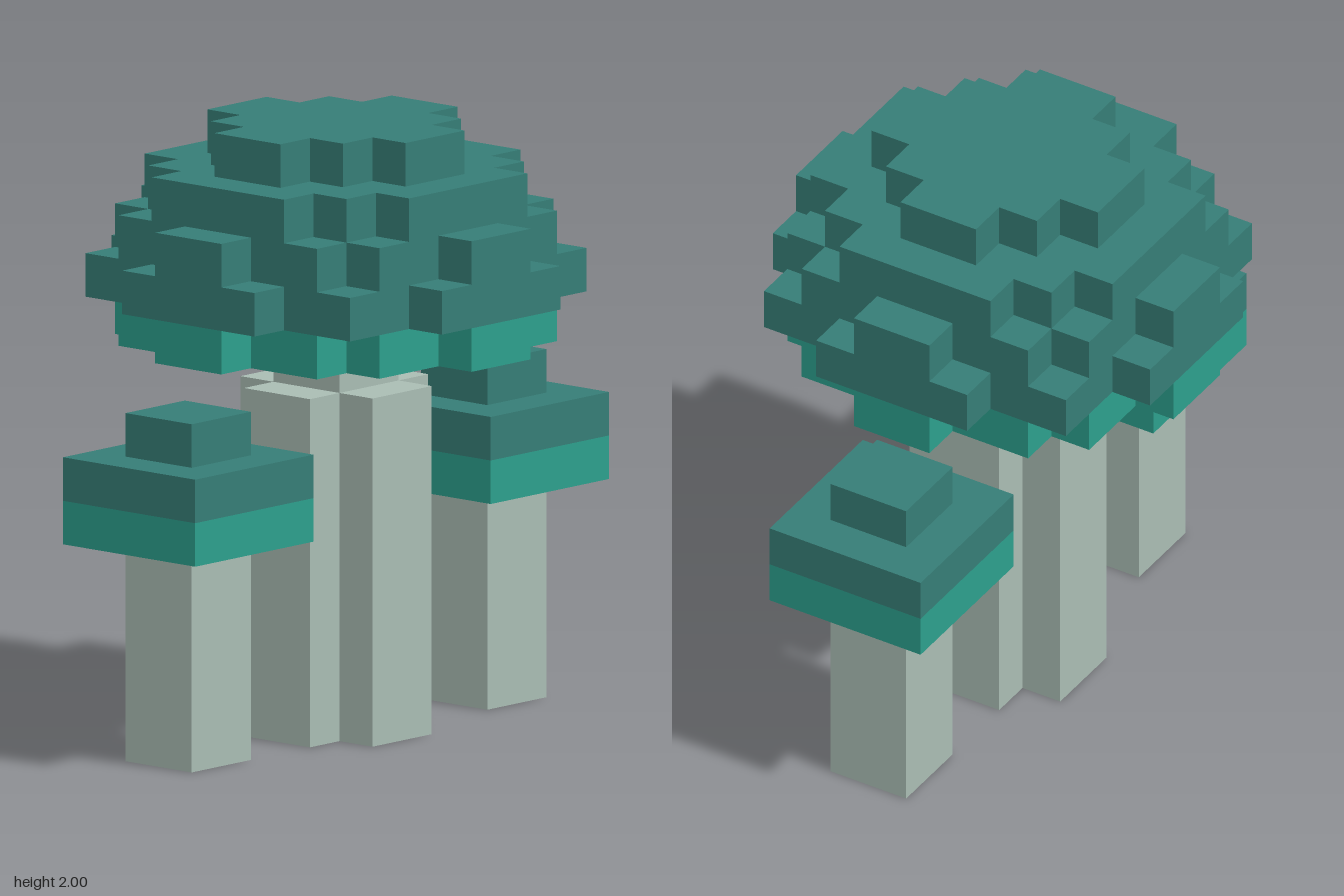
import * as THREE from 'three';

const U = 1 / 7; // size of one block

const mat = (name, color) => {
  const m = new THREE.MeshStandardMaterial({ color });
  m.name = name;
  return m;
};

// A flat slab with a stepped outline, the same on all four sides.
// steps: [x, z] corners of one quarter in blocks, from +x round to +z.
function slab(name, material, steps, bottom, top, x = 0) {
  const quarter = [];
  steps.forEach(([a, b], i) => {
    quarter.push([a, b]);
    if (i < steps.length - 1) quarter.push([steps[i + 1][0], b]);
  });
  const points = [];
  for (let k = 0; k < 4; k++) {
    for (const [a, b] of quarter) {
      const [px, py] = [[a, b], [-b, a], [-a, -b], [b, -a]][k];
      points.push(new THREE.Vector2(px * U, py * U));
    }
  }
  const geometry = new THREE.ExtrudeGeometry(new THREE.Shape(points), {
    depth: (top - bottom) * U, bevelEnabled: false,
  });
  geometry.rotateX(-Math.PI / 2);
  const mesh = new THREE.Mesh(geometry, material);
  mesh.name = name;
  mesh.position.set(x * U, bottom * U, 0);
  return mesh;
}

export function createModel() {
  const stem = mat('pale grey green', 0xa9bcb3);
  const rim = mat('bright teal', 0x2c9f8c);
  const cap = mat('dark teal', 0x367d76);

  const model = new THREE.Group();
  model.name = 'mushroomCluster';

  // Large mushroom in the middle
  const large = new THREE.Group();
  large.name = 'largeMushroom';
  const round = [[5, 1], [4, 3], [3, 4], [1, 5]];
  large.add(
    slab('largeStem', stem, [[2, 1], [1, 2]], 0, 8),
    slab('largeStemNeck', stem, [[1, 1]], 8, 9),
    slab('largeCapRim', rim, round, 9, 10),
    slab('largeCapBrim', cap, [[5, 2], [4, 4], [2, 5]], 10, 11),
    slab('largeCapMiddle', cap, round, 11, 12),
    slab('largeCapShoulder', cap, [[4, 2], [3, 3], [2, 4]], 12, 13),
    slab('largeCapCrown', cap, [[3, 1], [2, 2], [1, 3]], 13, 14),
  );
  model.add(large);

  // Small mushroom on each side
  for (const [side, x] of [['left', 5], ['right', -5]]) {
    const small = new THREE.Group();
    small.name = side + 'SmallMushroom';
    small.add(
      slab(side + 'Stem', stem, [[1, 1]], 0, 5, x),
      slab(side + 'CapRim', rim, [[2, 2]], 5, 6, x),
      slab(side + 'CapTop', cap, [[2, 2]], 6, 7, x),
      slab(side + 'CapCrown', cap, [[1, 1]], 7, 8, x),
    );
    model.add(small);
  }
  return model;
}
